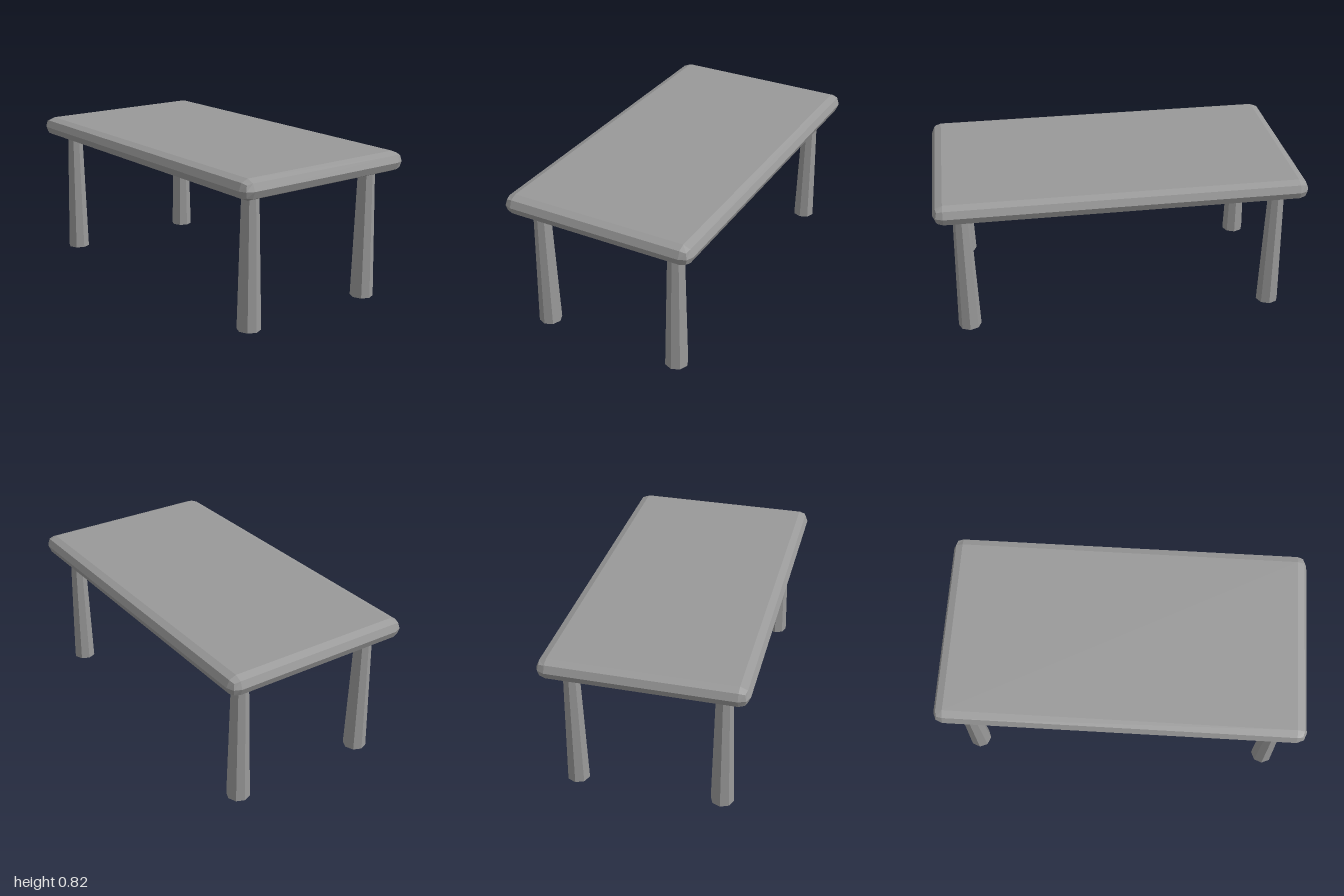
import * as THREE from 'three';
import { RoundedBoxGeometry } from 'three/addons/geometries/RoundedBoxGeometry.js';

export function createModel() {
  const table = new THREE.Group();
  table.name = 'table';
  const grey = new THREE.MeshStandardMaterial({ color: 0x999999, flatShading: true });
  grey.name = 'plain grey';

  // Slab with a two-step bevel that rounds the whole edge
  const thickness = 0.11, topY = 0.82, legHeight = topY - thickness;
  const top = new THREE.Mesh(new RoundedBoxGeometry(2, thickness, 1.09, 1, thickness / 2), grey);
  top.name = 'tabletop';
  top.position.y = topY - thickness / 2;
  table.add(top);

  // Four tapered eight-sided legs, mirrored to each corner
  const legGeometry = new THREE.CylinderGeometry(0.045, 0.063, legHeight, 8);
  for (const [sx, xName] of [[-1, 'Right'], [1, 'Left']]) {
    for (const [sz, zName] of [[1, 'front'], [-1, 'back']]) {
      const leg = new THREE.Mesh(legGeometry, grey);
      leg.name = `${zName}${xName}Leg`;
      leg.position.set(sx * 0.855, legHeight / 2, sz * 0.4);
      table.add(leg);
    }
  }
  return table;
}
